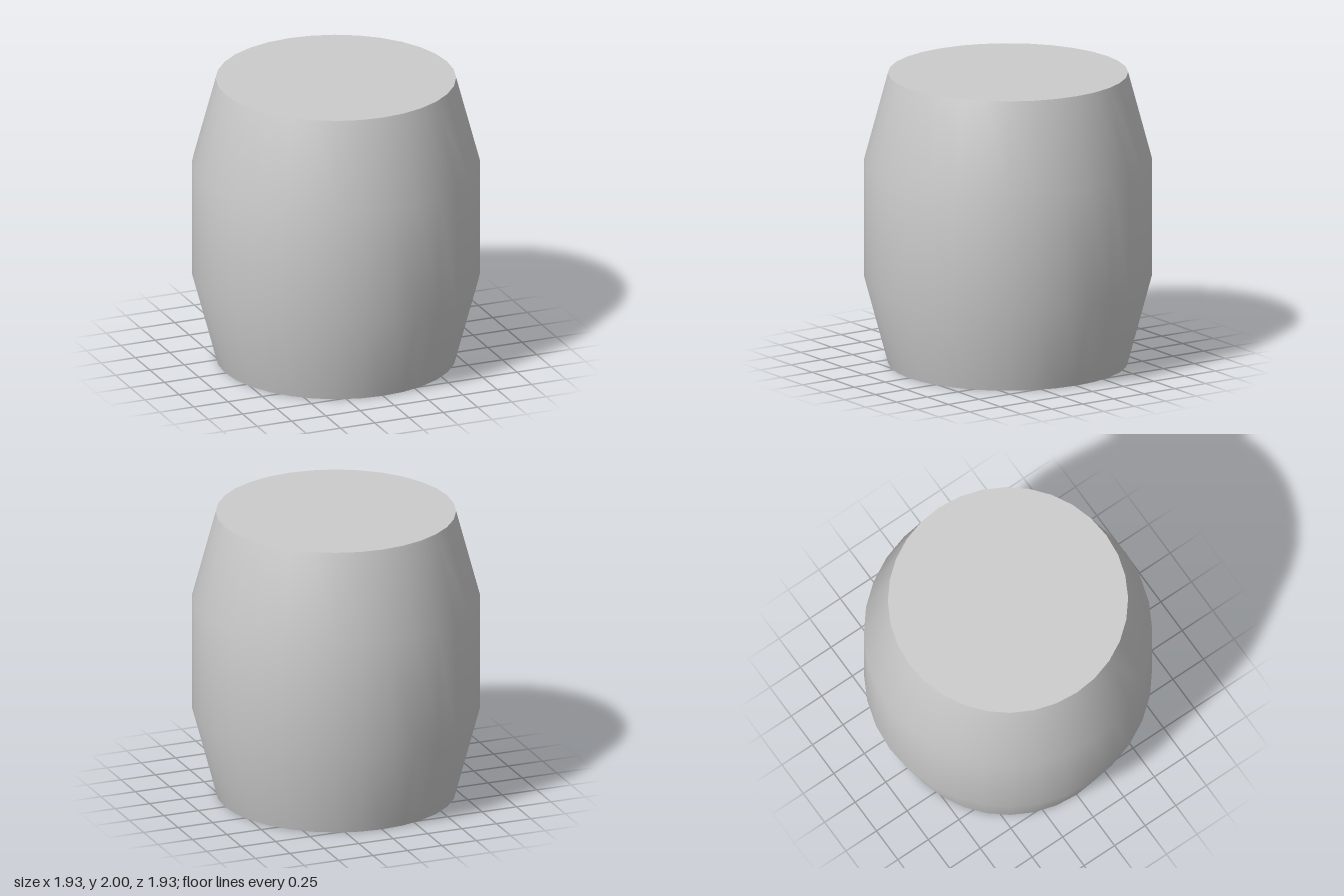
import * as THREE from 'three';

const SIDES = 32;
const HEIGHT = 2;
const END_RADIUS = 0.806;
const BELLY_RADIUS = 0.967;

export function createModel() {
  const barrel = new THREE.Group();
  barrel.name = 'barrel';
  const material = new THREE.MeshStandardMaterial({ color: 0xcccccc });

  // Bulging wall, smooth around and across the belly
  const profile = [
    [END_RADIUS, 0],
    [BELLY_RADIUS, 0.6],
    [BELLY_RADIUS, 1.4],
    [END_RADIUS, HEIGHT],
  ].map(([r, y]) => new THREE.Vector2(r, y));
  const wall = new THREE.Mesh(new THREE.LatheGeometry(profile, SIDES), material);
  wall.name = 'wall';
  barrel.add(wall);

  // Flat end discs with a sharp rim
  for (const [name, y, tilt] of [['lid', HEIGHT, -1], ['base', 0, 1]]) {
    const disc = new THREE.Mesh(new THREE.CircleGeometry(END_RADIUS, SIDES), material);
    disc.name = name;
    disc.rotation.x = tilt * Math.PI / 2;
    disc.position.y = y;
    barrel.add(disc);
  }

  return barrel;
}
